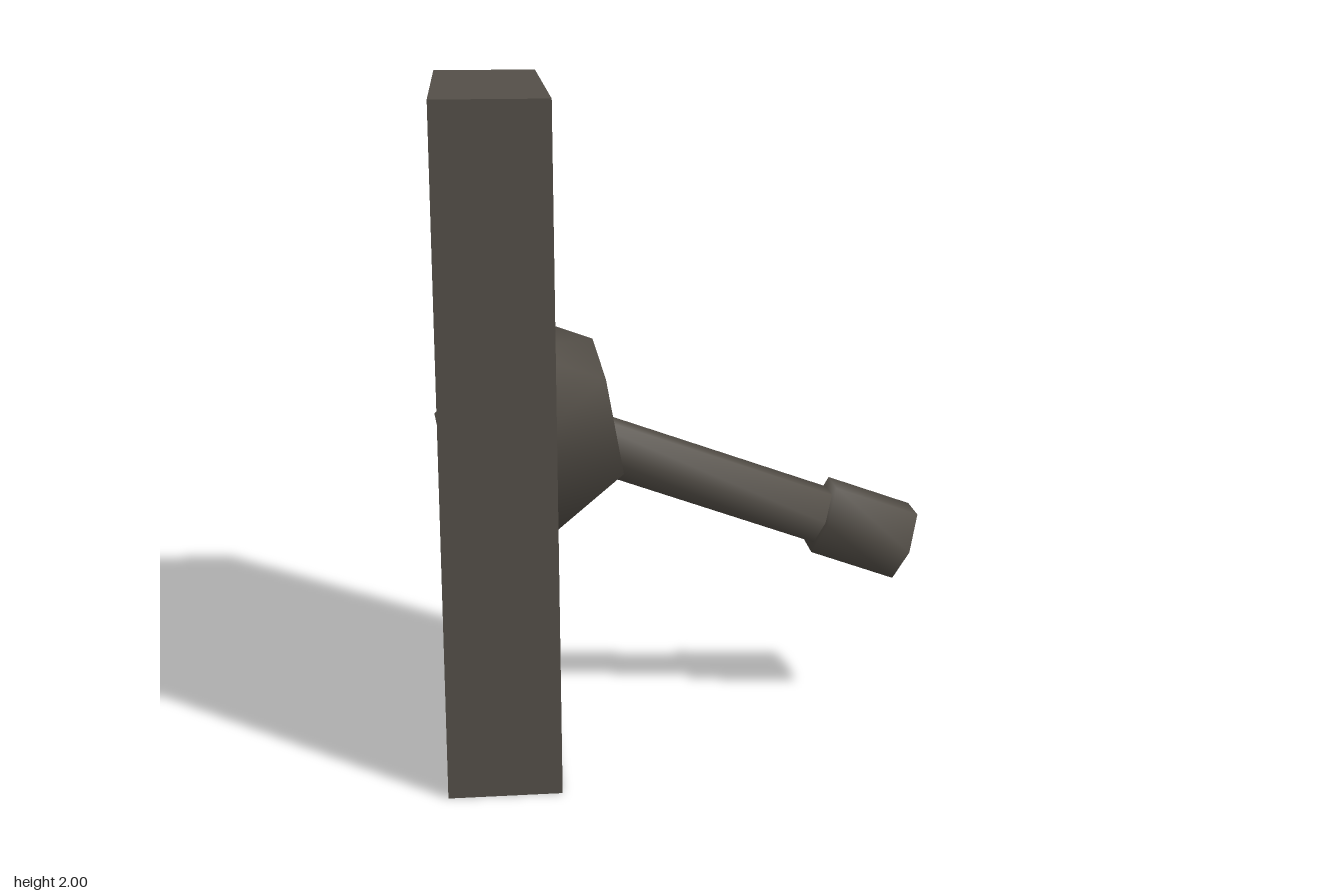
import * as THREE from 'three';
import { mergeGeometries, mergeVertices } from 'three/addons/utils/BufferGeometryUtils.js';

const RAD = Math.PI / 180;

// Join geometries and share normals across all their edges
function smoothMerge(parts) {
  for (const p of parts) {
    p.deleteAttribute('normal');
    p.deleteAttribute('uv');
  }
  const g = mergeVertices(mergeGeometries(parts), 1e-4);
  g.computeVertexNormals();
  return g;
}

// Hollow wall plate: rectangular rings [x, inset] joined by flat faces, closed by a panel
function plateGeometry(halfZ, height, rings) {
  const corners = rings.map(([x, i]) => [
    [x, i, halfZ - i], [x, i, -halfZ + i],
    [x, height - i, -halfZ + i], [x, height - i, halfZ - i],
  ]);
  const pos = [];
  const quad = (a, b, c, d) => pos.push(...a, ...b, ...c, ...a, ...c, ...d);
  for (let r = 0; r < corners.length - 1; r++) {
    for (let k = 0; k < 4; k++) {
      const n = (k + 1) % 4;
      quad(corners[r][k], corners[r][n], corners[r + 1][n], corners[r + 1][k]);
    }
  }
  quad(...corners[corners.length - 1]);
  const g = new THREE.BufferGeometry();
  g.setAttribute('position', new THREE.Float32BufferAttribute(pos, 3));
  g.computeVertexNormals();
  return g;
}

// Six-sided pivot housing, open on its two rear faces
function housingGeometry(radius, width) {
  const wrap = new THREE.CylinderGeometry(radius, radius, width, 4, 1, true, -50 * RAD, 240 * RAD);
  wrap.rotateX(Math.PI / 2);
  const leftCap = new THREE.CircleGeometry(radius, 6, 40 * RAD);
  leftCap.translate(0, 0, width / 2);
  const rightCap = new THREE.CircleGeometry(radius, 6, 20 * RAD);
  rightCap.rotateY(Math.PI);
  rightCap.translate(0, 0, -width / 2);
  return smoothMerge([wrap, leftCap, rightCap]);
}

export function createModel() {
  const model = new THREE.Group();
  model.name = 'wallSwitch';
  const metal = new THREE.MeshStandardMaterial({ color: 0x544f48, side: THREE.DoubleSide });
  metal.name = 'darkMetal';

  const add = (parent, name, geometry) => {
    const mesh = new THREE.Mesh(geometry, metal);
    mesh.name = name;
    parent.add(mesh);
    return mesh;
  };

  // Wall plate with raised rim and open back
  add(model, 'wallPlate', plateGeometry(0.605, 2, [
    [-0.74, 0], [-0.41, 0], [-0.41, 0.068], [-0.45, 0.068],
  ]));

  // Housing and lever share one pivot
  const pivot = new THREE.Group();
  pivot.name = 'switchMechanism';
  pivot.position.set(-0.476, 0.971, 0);
  model.add(pivot);
  add(pivot, 'pivotHousing', housingGeometry(0.294, 0.595));

  // Lever tilted downwards, with a thicker grip at the end
  const lever = new THREE.Group();
  lever.name = 'lever';
  lever.rotation.z = -110 * RAD;
  pivot.add(lever);
  const shaft = new THREE.CylinderGeometry(0.095, 0.095, 1.04, 6, 1, true);
  shaft.translate(0, 0.47, 0);
  add(lever, 'leverShaft', smoothMerge([shaft]));
  const grip = new THREE.CylinderGeometry(0.128, 0.128, 0.28, 6);
  grip.translate(0, 1.125, 0);
  add(lever, 'leverGrip', smoothMerge([grip]));

  return model;
}
